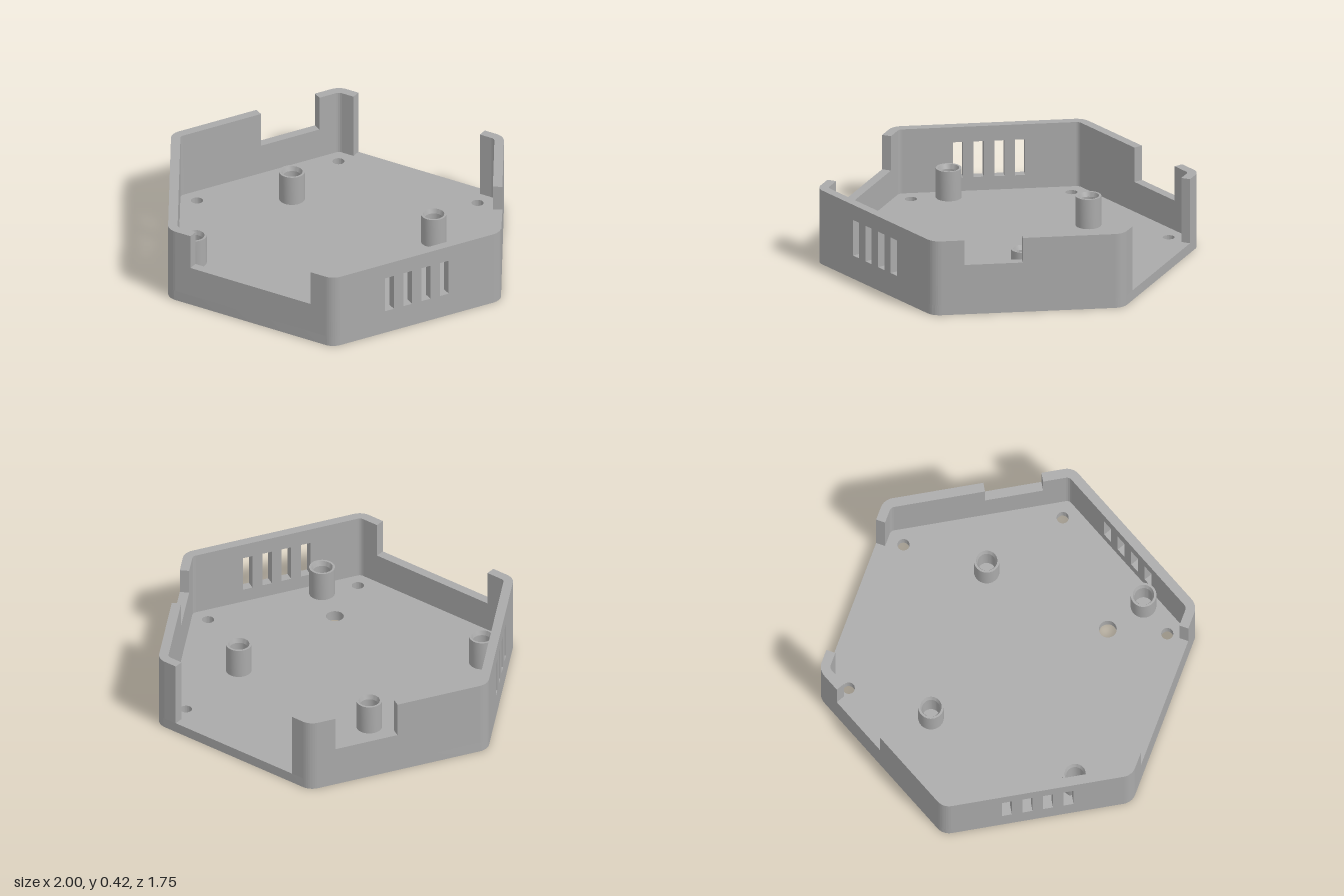
import * as THREE from 'three';
import { toCreasedNormals } from 'three/addons/utils/BufferGeometryUtils.js';

const APOTHEM = 0.877, CORNER = 0.08, WALL = 0.05, FLOOR = 0.055, TOP = 0.415;
const CORE = APOTHEM - CORNER;            // apothem of the hexagon of corner centres
const HALF = CORE / Math.sqrt(3);         // half length of each flat side
const DEG = Math.PI / 180;

export function createModel() {
  const model = new THREE.Group();
  model.name = 'hexagonalEnclosure';
  const plastic = new THREE.MeshStandardMaterial({ color: 0xaaaaaa });
  plastic.name = 'greyPlastic';

  const add = (parent, name, geometry) => {
    const mesh = new THREE.Mesh(geometry, plastic);
    mesh.name = name;
    parent.add(mesh);
    return mesh;
  };
  const extrude = (shapes, depth) => toCreasedNormals(
    new THREE.ExtrudeGeometry(shapes, { depth, bevelEnabled: false, curveSegments: 16 }), 0.5);
  const polygon = (pts) => new THREE.Shape(pts.map(([x, y]) => new THREE.Vector2(x, y)));
  const rect = (x0, x1, y0, y1) => polygon([[x0, y0], [x1, y0], [x1, y1], [x0, y1]]);

  // Floor plate: rounded hexagon with screw holes and a cable hole
  const plate = new THREE.Shape();
  for (let i = 0; i < 6; i++) {
    const a = i * 60 * DEG, d = 2 * HALF;
    plate.absarc(d * Math.cos(a), d * Math.sin(a), CORNER, a - 30 * DEG, a + 30 * DEG, false);
  }
  plate.closePath();
  const holes = [[0.345, 0.435, 0.047], [-0.853, 0, 0.032], [0.853, 0, 0.032]];
  for (const sx of [-1, 1]) for (const sz of [-1, 1]) holes.push([sx * 0.427, sz * 0.738, 0.032]);
  for (const [x, z, r] of holes) {
    plate.holes.push(new THREE.Path().absarc(x, -z, r, 0, Math.PI * 2, true));
  }
  add(model, 'floor', extrude(plate, FLOOR).rotateX(-Math.PI / 2));

  // Wall outlines, seen from outside each side
  const notched = (x0, x1, y) => [polygon([
    [-HALF, FLOOR], [HALF, FLOOR], [HALF, TOP], [x1, TOP], [x1, y], [x0, y], [x0, TOP], [-HALF, TOP],
  ])];
  const vented = () => {
    const shape = rect(-HALF, HALF, FLOOR, TOP);
    for (const x of [-0.165, -0.055, 0.055, 0.165]) {
      shape.holes.push(rect(x - 0.027, x + 0.027, 0.13, 0.33));
    }
    return [shape];
  };
  const sides = [
    ['frontWall', notched(-0.368, 0.368, 0.222)],
    ['leftVentWall', vented()],
    ['leftRearWall', notched(-0.338, -0.027, 0.277)],
    ['rearWall', [rect(-HALF, -0.388, FLOOR, TOP), rect(0.388, HALF, FLOOR, TOP)]],
    ['rightRearWall', notched(-0.36, -0.008, 0.222)],
    ['rightVentWall', vented()],
  ];

  // Rounded corner post joining one wall to the next
  const sector = new THREE.Shape();
  sector.absarc(HALF, -CORE, CORNER, -90 * DEG, -30 * DEG, false);
  sector.absarc(HALF, -CORE, CORNER - WALL, -30 * DEG, -90 * DEG, true);
  sector.closePath();
  const cornerGeometry = extrude(sector, TOP - FLOOR).rotateX(-Math.PI / 2).translate(0, FLOOR, 0);

  sides.forEach(([name, shapes], i) => {
    const side = new THREE.Group();
    side.name = name;
    side.rotation.y = i * 60 * DEG;
    add(side, name + 'Panel', extrude(shapes, WALL).translate(0, 0, APOTHEM - WALL));
    add(side, name + 'Corner', cornerGeometry);
    model.add(side);
  });

  // Hollow standoffs with a chamfered mouth
  const profile = [[0.068, FLOOR], [0.068, 0.22], [0.056, 0.22], [0.047, 0.195], [0.047, FLOOR]]
    .map(([r, y]) => new THREE.Vector2(r, y));
  const standoff = toCreasedNormals(new THREE.LatheGeometry(profile, 40), 0.3);
  for (const [x, z] of [[0.435, -0.275], [0.533, 0.567]]) {
    for (const s of [-1, 1]) add(model, 'standoff', standoff).position.set(s * x, 0, z);
  }
  return model;
}
